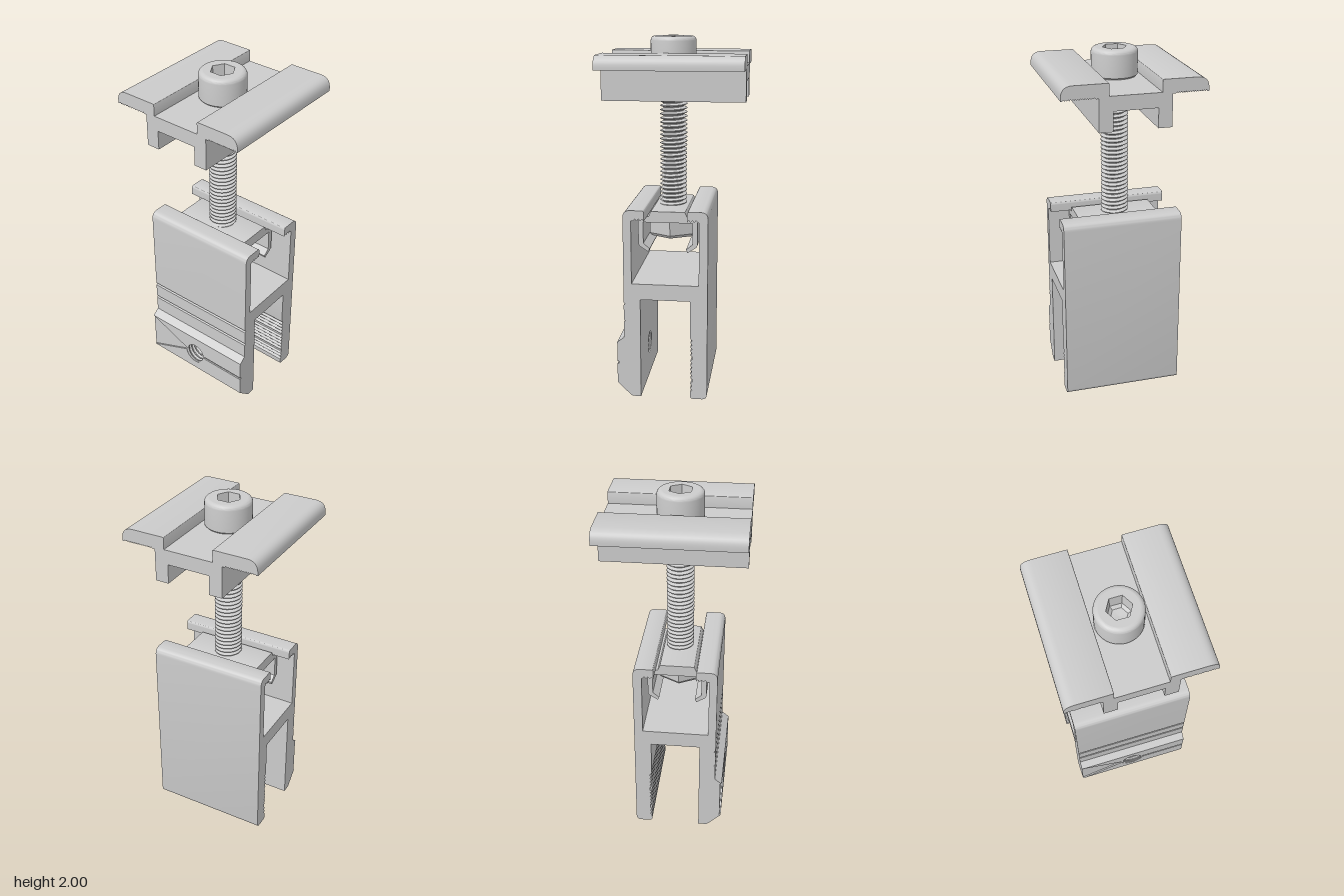
import * as THREE from 'three';
import { toCreasedNormals } from 'three/addons/utils/BufferGeometryUtils.js';
import { ParametricGeometry } from 'three/addons/geometries/ParametricGeometry.js';

const grey = new THREE.MeshStandardMaterial({ color: 0xcccccc });
const greyBoth = new THREE.MeshStandardMaterial({ color: 0xcccccc, side: THREE.DoubleSide });
const BOLT_Z = 0.02;

// Closed outline from [x, y, cornerRadius] points
function outline(pts) {
  const shape = new THREE.Shape();
  pts.forEach(([x, y, r = 0], i) => {
    const p = new THREE.Vector2(x, y);
    const toward = ([qx, qy]) => new THREE.Vector2(qx, qy).sub(p).setLength(r).add(p);
    const a = r ? toward(pts.at(i - 1)) : p;
    if (i === 0) shape.moveTo(a.x, a.y);
    else shape.lineTo(a.x, a.y);
    if (r) {
      const b = toward(pts[(i + 1) % pts.length]);
      shape.quadraticCurveTo(x, y, b.x, b.y);
    }
  });
  return shape;
}

// Zigzag between two points: n teeth of depth (dx, dy)
function teeth([x0, y0], [x1, y1], n, dx, dy) {
  const out = [];
  for (let i = 0; i <= 2 * n; i++) {
    const t = i / (2 * n), k = i % 2;
    out.push([x0 + (x1 - x0) * t + dx * k, y0 + (y1 - y0) * t + dy * k]);
  }
  return out;
}

function mesh(name, geometry, material = grey) {
  const m = new THREE.Mesh(geometry, material);
  m.name = name;
  return m;
}

function extrudeZ(shape, z0, z1) {
  const g = new THREE.ExtrudeGeometry(shape, { depth: z1 - z0, bevelEnabled: false, curveSegments: 8 });
  return toCreasedNormals(g.translate(0, 0, z0), 0.5);
}

// Outline given as (z, y), swept along x
function extrudeX(shape, x0, x1) {
  return extrudeZ(shape, -x1, -x0).rotateY(-Math.PI / 2);
}

// Helical thread around y, trimmed flat at both ends
function thread(rIn, rOut, y0, y1, pitch) {
  const turns = Math.ceil((y1 - y0) / pitch) + 1;
  const rows = turns * 4, step = [0, 0.14, 0.5, 0.64];
  const g = new ParametricGeometry((u, v, target) => {
    const row = Math.round(v * rows), k = row % 4;
    const y = y0 + pitch * (u + Math.floor(row / 4) + step[k] - 1);
    const r = k < 2 ? rOut : rIn, a = u * Math.PI * 2;
    target.set(r * Math.cos(a), THREE.MathUtils.clamp(y, y0, y1), -r * Math.sin(a));
  }, 32, rows);
  return toCreasedNormals(g, 0.5);
}

function lathe(pts, segments, crease) {
  const g = new THREE.LatheGeometry(pts.map(([x, y]) => new THREE.Vector2(x, y)), segments);
  return toCreasedNormals(g, crease);
}

// Slotted base rail with a threaded cross hole in its front leg
function createRail() {
  const rail = new THREE.Group();
  rail.name = 'baseRail';
  const X0 = -0.33, X1 = 0.35, HX = 0.005, HY = 0.2, HR = 0.07;

  const profile = outline([
    [0.164, 0.32], [0.297, 0.32], [0.257, 0.352],
    [0.257, 0.442], [0.248, 0.45], [0.257, 0.458],
    [0.257, 0.542], [0.248, 0.55], [0.257, 0.558],
    [0.257, 1.083, 0.04], [0.14, 1.083, 0.015],
    ...teeth([0.14, 1.025], [0.2, 1.025], 3, 0, 0.012),
    [0.212, 1.025], [0.212, 0.667], [-0.161, 0.667], [-0.161, 1.025],
    ...teeth([-0.155, 1.025], [-0.095, 1.025], 3, 0, 0.012),
    [-0.095, 1.083, 0.015], [-0.21, 1.083, 0.04],
    [-0.21, 0, 0.03], [-0.114, 0, 0.02],
    ...teeth([-0.116, 0.04], [-0.116, 0.09], 2, -0.01, 0),
    [-0.126, 0.1], [-0.126, 0.12],
    ...teeth([-0.116, 0.125], [-0.116, 0.225], 4, -0.01, 0),
    [-0.126, 0.235], [-0.126, 0.255],
    ...teeth([-0.116, 0.26], [-0.116, 0.36], 4, -0.01, 0),
    [-0.114, 0.37], [-0.114, 0.577], [0.164, 0.577],
  ]);
  rail.add(mesh('railProfile', extrudeX(profile, X0, X1)));

  const foot = outline([[0.164, 0], [0.215, 0, 0.01], [0.297, 0.08], [0.164, 0.08]]);
  rail.add(mesh('frontLegFoot', extrudeX(foot, X0, X1)));

  // Front leg block pierced by the hole
  const block = outline([[X0, 0.08], [X1, 0.08], [X1, 0.32], [X0, 0.32]]);
  block.holes.push(new THREE.Path().absarc(HX, HY, HR, 0, Math.PI * 2, true));
  rail.add(mesh('frontLegBlock', extrudeZ(block, 0.164, 0.289)));

  // Raised pads above and below the centre groove
  for (const s of [1, -1]) {
    const gap = 0.007, a = Math.asin(gap / HR), y = HY + s * gap;
    const pad = new THREE.Shape().moveTo(X0, y);
    pad.absarc(HX, HY, HR, s * (Math.PI - a), s * a, s > 0);
    pad.lineTo(X1, y).lineTo(X1, HY + s * 0.12).lineTo(X0, HY + s * 0.12);
    rail.add(mesh(s > 0 ? 'upperPad' : 'lowerPad', extrudeZ(pad, 0.289, 0.297)));
  }

  const hole = mesh('holeThread', thread(0.059, 0.07, 0.164, 0.295, 0.024).rotateX(Math.PI / 2), greyBoth);
  hole.position.set(HX, HY, 0);
  rail.add(hole);
  return rail;
}

// Top clamp with two serrated wings and two legs
function createClamp() {
  const half = [
    [0.12, 1.765], [0.12, 1.657], [0.195, 1.657], [0.195, 1.835],
    ...teeth([0.21, 1.835], [0.382, 1.835], 14, 0, 0.007),
    [0.39, 1.835], [0.39, 1.912, 0.062], [0.14, 1.912, 0.006], [0.14, 1.845],
  ];
  const mirrored = half.map(([x, y, r]) => [-x, y, r]).reverse();
  return mesh('topClamp', extrudeZ(outline([...half, ...mirrored]), -0.395, 0.395));
}

// Socket screw: threaded shank, rounded head, hexagonal recess
function createScrew() {
  const screw = new THREE.Group();
  screw.name = 'screw';
  screw.add(mesh('shank', thread(0.057, 0.077, 0.89, 1.86, 0.0235)));
  screw.add(mesh('shankEnd', new THREE.CylinderGeometry(0.057, 0.057, 0.02, 32).translate(0, 0.9, 0)));

  const TOP = 2, R = 0.127;
  const rim = [[0, 1.842], [R - 0.012, 1.842], [R, 1.854]];
  for (let i = 0; i <= 6; i++) {
    const a = (i / 6) * Math.PI / 2;
    rim.push([R - 0.025 + 0.025 * Math.cos(a), TOP - 0.025 + 0.025 * Math.sin(a)]);
  }
  screw.add(mesh('head', lathe(rim, 48, 0.5)));

  const face = new THREE.Shape().absarc(0, 0, R - 0.025, 0, Math.PI * 2);
  const hex = Array.from({ length: 6 }, (_, i) =>
    new THREE.Vector2(0.067 * Math.cos(i * Math.PI / 3), 0.067 * Math.sin(i * Math.PI / 3)));
  face.holes.push(new THREE.Path(hex));
  screw.add(mesh('headFace', new THREE.ShapeGeometry(face, 48).rotateX(-Math.PI / 2).translate(0, TOP, 0)));
  const socket = lathe([[0, 1.9], [0.045, 1.905], [0.063, 1.92], [0.067, TOP]], 6, 0.2);
  screw.add(mesh('socket', socket.rotateY(Math.PI / 2), greyBoth));
  screw.position.z = BOLT_Z;
  return screw;
}

// Hexagonal nut with chamfered ends
function createNut() {
  const nut = mesh('nut', lathe([[0, 0.873], [0.13, 0.873], [0.144, 0.89], [0.144, 0.975], [0.13, 0.99], [0, 0.99]], 6, 0.2)
    .rotateY(Math.PI / 2));
  nut.position.z = BOLT_Z + 0.005;
  return nut;
}

// Sliding carrier with hooked arms that holds the nut in the channel
function createCarrier() {
  const half = [
    [0.138, 0.99], [0.138, 0.868], [0.102, 0.838], [0.11, 0.82],
    [0.166, 0.855, 0.015], [0.166, 1.022, 0.006], [0.108, 1.022], [0.096, 1.052, 0.006],
  ];
  const mirrored = half.map(([z, y, r]) => [-z, y, r]).reverse();
  const carrier = mesh('nutCarrier', extrudeX(outline([...half, ...mirrored]), -0.23, 0.23));
  carrier.position.z = BOLT_Z + 0.005;
  return carrier;
}

export function createModel() {
  const model = new THREE.Group();
  model.name = 'railClamp';
  model.add(createRail(), createClamp(), createScrew(), createNut(), createCarrier());
  return model;
}
